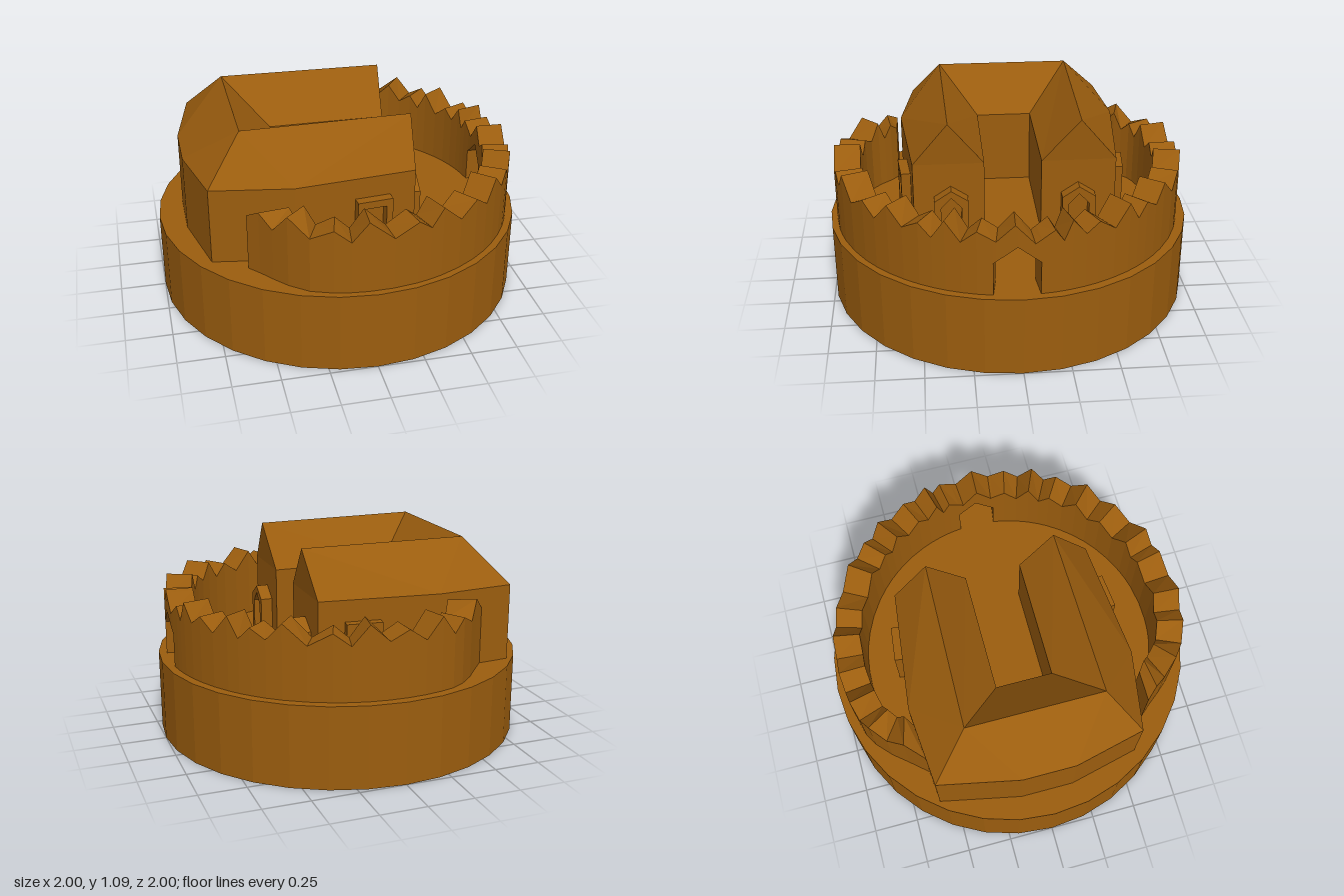
import * as THREE from 'three';

const GROUND = 0.44;

// Flat-sided geometry from convex polygons, each fanned from its first corner
function polygons(faces) {
  const pos = [];
  for (const f of faces)
    for (let i = 1; i < f.length - 1; i++) pos.push(...f[0], ...f[i], ...f[i + 1]);
  const g = new THREE.BufferGeometry();
  g.setAttribute('position', new THREE.Float32BufferAttribute(pos, 3));
  g.computeVertexNormals();
  return g;
}

// U-shaped house: upright walls below, hipped roof with two gable ends above
function houseGeometries() {
  const plan = [[-0.86, -0.15], [-0.77, -0.59], [-0.34, -0.63], [0.305, -0.555],
    [0.305, -0.155], [-0.345, -0.155], [-0.345, 0.15], [0.305, 0.15],
    [0.305, 0.53], [-0.34, 0.595], [-0.77, 0.525], [-0.86, 0.14]];
  const lo = plan.map(([x, z]) => [x, GROUND, z]);
  const e = plan.map(([x, z]) => [x, 0.855, z]);
  const [a, b, c, d] = [[0.325, -0.36], [-0.58, -0.38], [-0.58, 0.36], [0.325, 0.34]]
    .map(([x, z]) => [x, 1.09, z]);
  const walls = plan.map((_, i) => {
    const j = (i + 1) % plan.length;
    return [lo[i], e[i], e[j], lo[j]];
  });
  walls.push([e[3], a, e[4]], [e[7], d, e[8]]);
  const roof = [
    [e[2], e[1], b, a, e[3]], [e[9], e[8], d, c, e[10]],
    [e[4], a, b, e[5]], [e[5], b, c, e[6]], [e[6], c, d, e[7]],
    [e[10], c, e[11]], [e[11], c, b, e[0]], [e[0], b, e[1]],
  ];
  return [polygons(walls), polygons(roof)];
}

// Open ring wall with a jagged crest and a pointed gateway
function ringWallGeometry() {
  const peaks = [-2.2, -1.97, -1.8, -1.6, -1.39, -1.2, -0.94, -0.76, -0.62, -0.42, -0.265, -0.17,
    0.035, 0.23, 0.4, 0.55, 0.75, 0.95, 1.2, 1.35, 1.62, 1.8, 2.05, 2.25];
  const end = 2.34;
  const crest = [[-end, 0.75]];
  peaks.forEach((t, i) => {
    crest.push([t, i % 2 ? 0.79 : 0.83]);
    if (i < peaks.length - 1) crest.push([(t + peaks[i + 1]) / 2, i % 3 ? 0.725 : 0.74]);
  });
  crest.push([end, 0.75]);

  const topAt = (t) => {
    let i = 0;
    while (i < crest.length - 2 && crest[i + 1][0] < t) i++;
    const [[t0, y0], [t1, y1]] = [crest[i], crest[i + 1]];
    return y0 + (y1 - y0) * (t - t0) / (t1 - t0);
  };
  const gate = [-0.1, 0.022, 0.147];
  const archAt = (t) => t < gate[1]
    ? 0.62 + 0.09 * (t - gate[0]) / (gate[1] - gate[0])
    : 0.62 + 0.09 * (gate[2] - t) / (gate[2] - gate[1]);

  // The ring tightens near both ends, which are cut parallel to the house
  const point = (t, y, inner) => {
    const k = THREE.MathUtils.smoothstep(Math.abs(t), 1.85, end);
    const r = (inner ? 0.81 : 0.955) - (inner ? 0.06 : 0.1) * k;
    const q = inner ? t - Math.sign(t) * 0.16 * k : t;
    return [r * Math.cos(q), y, r * Math.sin(q) + 0.008];
  };
  const cap = (t, y0, y1, forward) => {
    const f = [point(t, y0, true), point(t, y0), point(t, y1), point(t, y1, true)];
    return forward ? f : f.reverse();
  };

  const stations = [...crest.map((p) => p[0]), ...gate].sort((p, q) => p - q);
  const faces = [];
  for (let i = 0; i < stations.length - 1; i++) {
    const s = stations[i], t = stations[i + 1], mid = (s + t) / 2;
    const open = mid > gate[0] && mid < gate[2];
    const [bs, bt] = open ? [archAt(s), archAt(t)] : [GROUND, GROUND];
    const [ys, yt] = [topAt(s), topAt(t)];
    faces.push(
      [point(s, bs), point(s, ys), point(t, yt), point(t, bt)],
      [point(t, bt, true), point(t, yt, true), point(s, ys, true), point(s, bs, true)],
      [point(s, ys), point(s, ys, true), point(t, yt, true), point(t, yt)],
      [point(t, bt), point(t, bt, true), point(s, bs, true), point(s, bs)],
    );
  }
  faces.push(cap(-end, GROUND, 0.75, false), cap(end, GROUND, 0.75, true));
  faces.push(cap(gate[0], GROUND, 0.62, true), cap(gate[2], GROUND, 0.62, false));
  return polygons(faces);
}

// Door surround open at the foot; a higher apex makes it pointed
function doorFrameGeometry(width, eave, apex) {
  const w = width / 2, v = w - 0.035, drop = 0.04;
  const outline = [[-w, 0], [-v, 0], [-v, eave - drop], [0, apex - drop], [v, eave - drop],
    [v, 0], [w, 0], [w, eave], [0, apex], [-w, eave]];
  const shape = new THREE.Shape(outline.map(([x, y]) => new THREE.Vector2(x, y)));
  return new THREE.ExtrudeGeometry(shape, { depth: 0.07, bevelEnabled: false });
}

export function createModel() {
  const model = new THREE.Group();
  model.name = 'walledFarmstead';
  const brown = new THREE.MeshStandardMaterial({ color: 0x9b5d0e });
  brown.name = 'earth brown';
  brown.flatShading = true;
  const add = (name, geometry) => {
    const mesh = new THREE.Mesh(geometry, brown);
    mesh.name = name;
    model.add(mesh);
    return mesh;
  };

  // Round mound
  add('base', new THREE.CylinderGeometry(1, 1, GROUND, 32).translate(0, GROUND / 2, 0));

  // House
  const [walls, roof] = houseGeometries();
  add('houseWalls', walls);
  add('houseRoof', roof);

  // Palisade
  add('ringWall', ringWallGeometry());

  // Door surrounds: pointed on the gables, square on the long sides
  const doors = [
    ['leftGableDoor', 0.3, 0.33, Math.PI / 2, 0.18, 0.225, 0.285],
    ['rightGableDoor', 0.3, -0.353, Math.PI / 2, 0.18, 0.225, 0.285],
    ['frontDoor', 0.07, 0.535, 0.1, 0.19, 0.3, 0.3],
    ['backDoor', 0.07, -0.56, Math.PI - 0.115, 0.19, 0.3, 0.3],
  ];
  for (const [name, x, z, turn, width, eave, apex] of doors) {
    const door = add(name, doorFrameGeometry(width, eave, apex));
    door.position.set(x, GROUND, z);
    door.rotation.y = turn;
  }
  return model;
}
